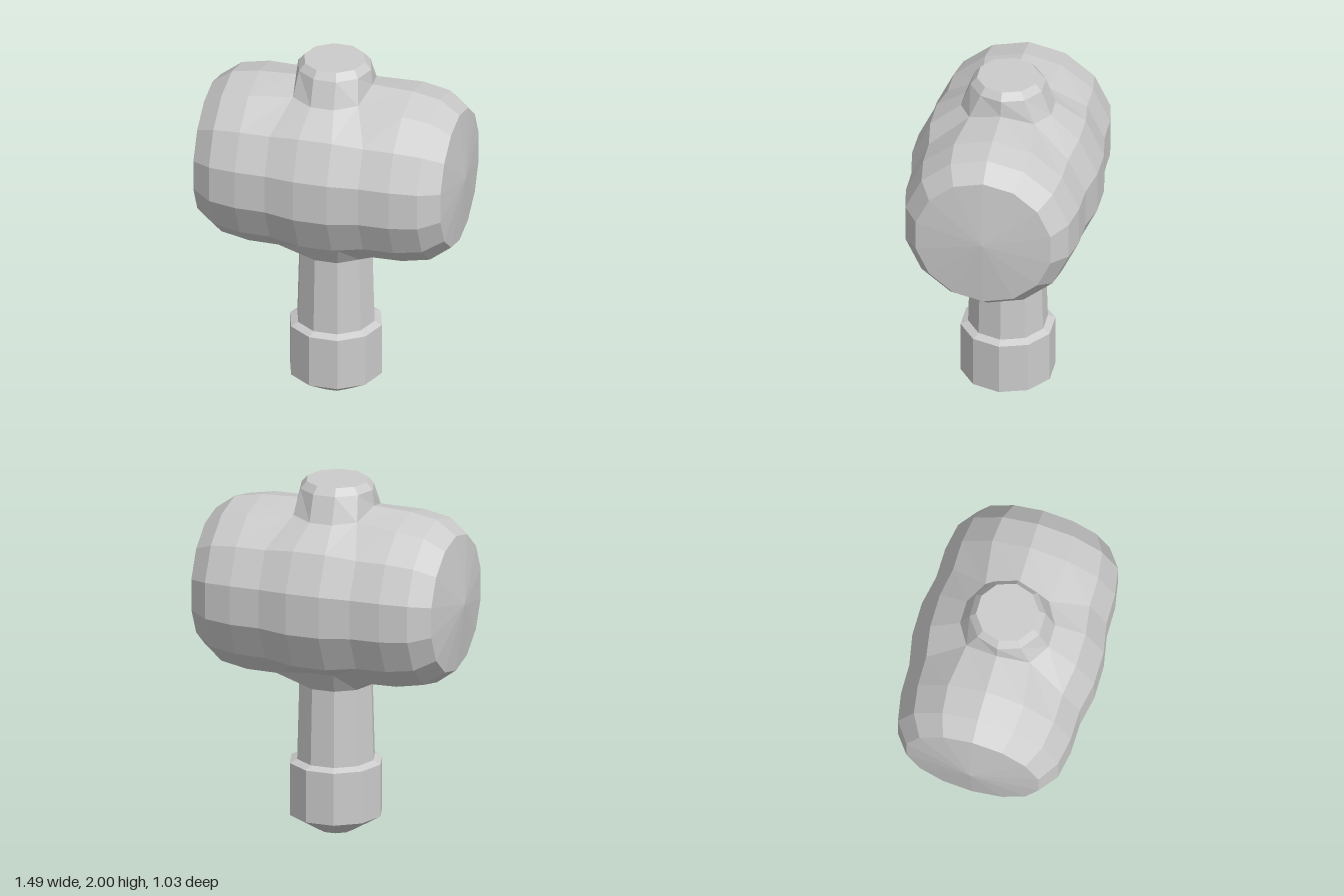
import * as THREE from 'three';

const material = new THREE.MeshStandardMaterial({ color: 0xcccccc, flatShading: true });
const V = (x, y, z) => new THREE.Vector3(x, y, z);

// Skins a list of equal-length rings; optional cap points close the ends.
function loft(name, rings, startCap, endCap) {
  const n = rings[0].length;
  const pos = [];
  const tri = (...pts) => pts.forEach((p) => pos.push(p.x, p.y, p.z));
  for (let i = 0; i < rings.length - 1; i++) {
    for (let j = 0; j < n; j++) {
      const k = (j + 1) % n;
      const a = rings[i][j], b = rings[i][k], c = rings[i + 1][k], d = rings[i + 1][j];
      tri(a, d, c);
      tri(a, c, b);
    }
  }
  const last = rings[rings.length - 1];
  for (let j = 0; j < n; j++) {
    const k = (j + 1) % n;
    if (startCap) tri(startCap, rings[0][j], rings[0][k]);
    if (endCap) tri(endCap, last[k], last[j]);
  }
  const geometry = new THREE.BufferGeometry();
  geometry.setAttribute('position', new THREE.Float32BufferAttribute(pos, 3));
  geometry.computeVertexNormals();
  const mesh = new THREE.Mesh(geometry, material);
  mesh.name = name;
  return mesh;
}

// Horizontal ten-sided ring
const SHIFT = 0.007;
const ring10 = (r, y, dx = SHIFT) => Array.from({ length: 10 }, (_, i) => {
  const t = (i * Math.PI) / 5;
  return V(dx + r * Math.cos(t), y, r * Math.sin(t));
});

// Ten-point ring mirrored from its side, corner and front points
function mirroredRing([side, corner, front], dx) {
  const at = (p, sx, sz) => V(dx + sx * p[0], p[1], sz * p[2]);
  return [
    at(side, 1, 1), at(corner, 1, 1), at(front, 1, 1), at(front, -1, 1), at(corner, -1, 1),
    at(side, -1, 1), at(corner, -1, -1), at(front, -1, -1), at(front, 1, -1), at(corner, 1, -1),
  ];
}

export function createModel() {
  const group = new THREE.Group();
  group.name = 'mallet';
  const CY = 1.367, SIDES = 14;

  // Rings where the handle and the peg run into the head
  const below = [[0.265, 0.872, 0], [0.265, 0.921, 0.215], [0.09, 0.963, 0.275]];
  const above = [[0.215, 1.87, 0], [0.185, 1.825, 0.18], [0.065, 1.815, 0.25]];

  // Head: fourteen-sided barrel along x, thicker in the middle
  const half = [[0.095, 0.528], [0.265, 0.495], [0.435, 0.493], [0.59, 0.465], [0.7, 0.384]];
  const profile = [...half.map(([x, r]) => [-x, r]).reverse(), ...half];
  const headRings = profile.map(([x, r]) => Array.from({ length: SIDES }, (_, k) => {
    const p = (k * 2 * Math.PI) / SIDES;
    const sx = Math.sign(x), sz = k < SIDES / 2 ? -1 : 1;
    const inner = Math.abs(x) < 0.1, joint = Math.abs(x) < 0.3;
    const onTop = k === 0, onBottom = k === 7;
    const nearTop = k === 1 || k === 13, nearBottom = k === 6 || k === 8;
    // Fit the middle of the barrel to the two joints
    if (inner && onTop) return V(x, 1.8, 0);
    if (inner && onBottom) return V(x, 0.96, 0);
    let fit = null, dx = SHIFT;
    if (joint && onTop) { fit = above[0]; dx = 0; }
    if (joint && nearTop) { fit = above[inner ? 2 : 1]; dx = 0; }
    if (joint && nearBottom) fit = below[inner ? 2 : 1];
    if (fit) return V(dx + sx * fit[0], fit[1], sz * fit[2]);
    return V(SHIFT + x, CY + r * Math.cos(p), -r * Math.sin(p));
  }));
  group.add(loft('head', headRings, V(-0.745, CY, 0), V(0.742, CY, 0)));

  // Peg: handle end standing out of the top of the head
  group.add(loft('peg',
    [mirroredRing(above, 0), ring10(0.207, 1.96, 0), ring10(0.172, 2, 0)],
    null, V(0, 2, 0)));

  // Neck: flare between handle and head
  group.add(loft('neck', [ring10(0.207, 0.845), mirroredRing(below, SHIFT)]));

  // Handle shaft
  group.add(loft('handle', [ring10(0.219, 0.4), ring10(0.207, 0.845)]));

  // Grip: thick end with a bevelled foot
  group.add(loft('grip',
    [ring10(0.1, 0), ring10(0.26, 0.095), ring10(0.26, 0.392), ring10(0.219, 0.412)],
    V(SHIFT, 0, 0), V(SHIFT, 0.412, 0)));

  return group;
}
